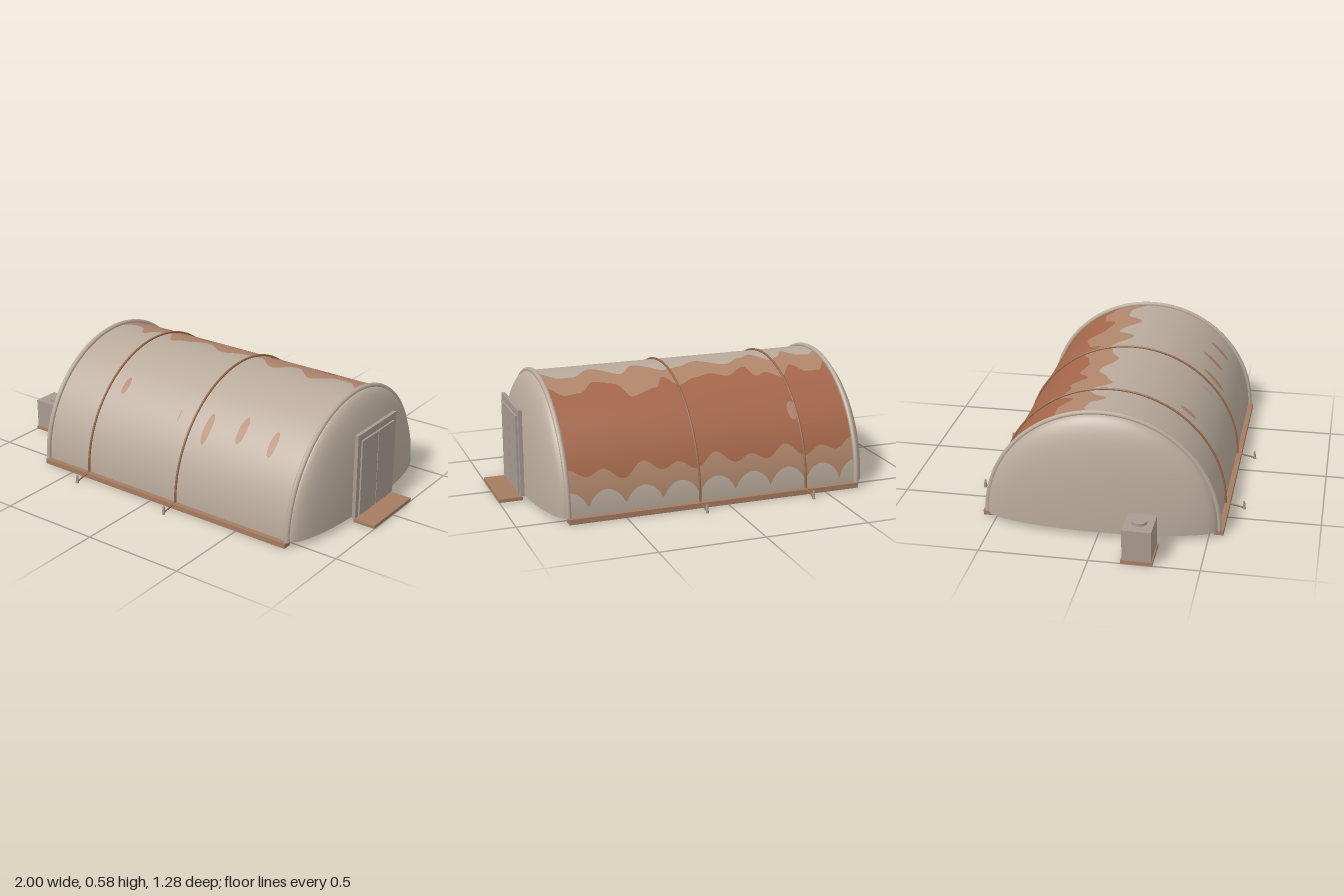
import * as THREE from 'three';

const R = 0.54, Y0 = 0.025;            // shell radius and springing height
const X0 = -0.675, X1 = 0.77;          // shell ends
const BULGE = 0.115;                   // depth of the domed ends

function mat(name, color, side = THREE.FrontSide) {
  const m = new THREE.MeshStandardMaterial({ color, side });
  m.name = name;
  return m;
}

// Grid surface from a point rule and a normal rule
function surface(nu, nv, point, normal) {
  const pos = [], nor = [], idx = [];
  for (let i = 0; i <= nu; i++) for (let j = 0; j <= nv; j++) {
    const p = point(i / nu, j / nv);
    pos.push(p.x, p.y, p.z);
    const n = normal(p).normalize();
    nor.push(n.x, n.y, n.z);
    if (i < nu && j < nv) {
      const a = i * (nv + 1) + j, c = a + nv + 1;
      idx.push(a, a + 1, c, a + 1, c + 1, c);
    }
  }
  const g = new THREE.BufferGeometry();
  g.setAttribute('position', new THREE.Float32BufferAttribute(pos, 3));
  g.setAttribute('normal', new THREE.Float32BufferAttribute(nor, 3));
  g.setIndex(idx);
  return g;
}

// Point on the barrel; t runs from the back foot (0) over the top to the front foot (PI)
const barrel = (x, t, r = R) => new THREE.Vector3(x, Y0 + r * Math.sin(t), -r * Math.cos(t));
const radial = p => new THREE.Vector3(0, p.y - Y0, p.z);

// Smooth wavy edge through [x, z] pairs, returned as a barrel angle
function wavy(pairs) {
  return x => {
    let k = 0;
    while (k < pairs.length - 2 && x > pairs[k + 1][0]) k++;
    const [xa, za] = pairs[k], [xb, zb] = pairs[k + 1];
    const s = THREE.MathUtils.smoothstep(x, xa, xb);
    return Math.acos(-(za + (zb - za) * s) / R);
  };
}

export function createModel() {
  const root = new THREE.Group();
  root.name = 'archedShelter';
  const skin = mat('weathered beige', 0xb9aa9b, THREE.DoubleSide);
  const rust = mat('rust', 0xa5674a, THREE.DoubleSide);
  const stain = mat('pale rust', 0xaf866b, THREE.DoubleSide);
  const wood = mat('brown timber', 0xa57c62);
  const strapMat = mat('strap brown', 0x96694a);
  const metal = mat('grey beige metal', 0xa99b90);

  const add = (name, geo, m, x = 0, y = 0, z = 0, parent = root) => {
    const mesh = new THREE.Mesh(geo, m);
    mesh.name = name;
    mesh.position.set(x, y, z);
    parent.add(mesh);
    return mesh;
  };
  // Box given by its limits
  const box = (name, m, xa, xb, ya, yb, za, zb) => add(name,
    new THREE.BoxGeometry(xb - xa, yb - ya, zb - za), m, (xa + xb) / 2, (ya + yb) / 2, (za + zb) / 2);

  // Barrel shell in coloured bands with wavy edges
  const deg = Math.PI / 180;
  const rustTop = wavy([[-0.675, -0.16], [-0.61, -0.23], [-0.54, -0.23], [-0.48, -0.17], [-0.4, -0.25],
    [-0.33, -0.21], [-0.27, -0.23], [-0.24, -0.15], [-0.13, -0.21], [-0.05, -0.18], [0.03, -0.2],
    [0.13, -0.24], [0.19, -0.17], [0.24, -0.24], [0.38, -0.28], [0.43, -0.19], [0.53, -0.16],
    [0.61, -0.23], [0.69, -0.24], [0.77, -0.17]]);
  const stainTop = wavy([[-0.675, -0.04], [-0.61, -0.09], [-0.56, -0.08], [-0.5, -0.01], [-0.45, -0.08],
    [-0.4, -0.11], [-0.32, -0.015], [-0.26, -0.05], [-0.16, -0.11], [-0.02, -0.04], [0.08, -0.09],
    [0.16, -0.11], [0.29, -0.02], [0.38, -0.11], [0.51, -0.015], [0.61, -0.1], [0.68, -0.1], [0.77, -0.015]]);
  const scallop = x => (2 + 10 * Math.sqrt(Math.abs(Math.sin(x * 17.5 + 0.8)))) * deg;
  const rustFoot = x => (20 + 2.5 * Math.sin(x * 35) + 1.5 * Math.sin(x * 19 + 1)) * deg;
  const edges = [() => 0, scallop, rustFoot, rustTop, stainTop, () => Math.PI];
  const bands = [['lowerShell', skin, 2], ['lowerStain', stain, 4], ['rustField', rust, 14],
    ['upperStain', stain, 6], ['mainShell', skin, 32]];
  bands.forEach(([name, m, n], k) => add(name, surface(144, n, (u, v) => {
    const x = X0 + (X1 - X0) * u;
    return barrel(x, THREE.MathUtils.lerp(edges[k](x), edges[k + 1](x), v));
  }, radial), m));

  // Rust spots, seen on both faces of the shell: x, angle, half width, half angle
  const frontAngle = y => Math.PI - Math.asin((y - Y0) / R);
  [[-0.315, frontAngle(0.44), 0.017, 0.09], [0.05, frontAngle(0.395), 0.003, 0.06],
    [0.225, frontAngle(0.38), 0.02, 0.145], [0.405, frontAngle(0.41), 0.021, 0.13],
    [0.585, frontAngle(0.395), 0.019, 0.12], [-0.385, 0.71, 0.024, 0.09]]
    .forEach(([cx, ct, rx, rt]) => [R + 0.002, R - 0.002].forEach(r => add('rustSpot',
      surface(3, 20, (u, v) => barrel(cx + rx * u * Math.cos(v * 2 * Math.PI),
        ct + rt * u * Math.sin(v * 2 * Math.PI), r), radial), stain)));

  // Domed ends and rim hoops
  [[X0, -1], [X1, 1]].forEach(([cx, s]) => {
    add('domedEnd', surface(20, 48, (u, v) => {
      const a = u * Math.PI / 2, t = (s > 0 ? v : 1 - v) * Math.PI;
      return barrel(cx + s * BULGE * Math.sin(a), t, R * Math.cos(a));
    }, p => new THREE.Vector3((p.x - cx) / BULGE ** 2, (p.y - Y0) / R ** 2, p.z / R ** 2)), skin);
    add('rimHoop', new THREE.TorusGeometry(0.544, 0.012, 10, 64, Math.PI), skin, cx - s * 0.002, Y0)
      .rotation.y = Math.PI / 2;
  });

  // Foot rails
  for (const s of [-1, 1]) {
    box('footRail', wood, X0, X1, 0, Y0, s * 0.5425 - 0.0225, s * 0.5425 + 0.0225);
  }

  // Tie-down straps with guy ends and stakes
  for (const x of [-0.405, 0.135]) {
    add('strap', new THREE.TorusGeometry(0.544, 0.0055, 8, 64, Math.PI), strapMat, x, Y0)
      .rotation.y = Math.PI / 2;
    for (const s of [-1, 1]) {
      const guy = new THREE.LineCurve3(new THREE.Vector3(x, Y0, s * 0.545), new THREE.Vector3(x, 0.007, s * 0.632));
      add('guyEnd', new THREE.TubeGeometry(guy, 1, 0.004, 8), strapMat);
      add('stake', new THREE.CylinderGeometry(0.005, 0.008, 0.04, 8), metal, x, 0.02, s * 0.632)
        .rotation.x = -s * 0.08;
    }
  }

  // Door frame, two leaves and step
  box('doorJamb', metal, 0.878, 0.896, 0.02, 0.44, -0.17, -0.143);
  box('doorJamb', metal, 0.878, 0.896, 0.02, 0.44, 0.143, 0.17);
  box('doorHead', metal, 0.878, 0.896, 0.408, 0.44, -0.143, 0.143);
  box('doorBacking', metal, 0.88, 0.892, 0.025, 0.408, -0.143, 0.143);
  box('doorLeaf', metal, 0.89, 0.904, 0.028, 0.407, -0.143, -0.002);
  box('doorLeaf', metal, 0.89, 0.904, 0.028, 0.407, 0.002, 0.143);
  box('step', wood, 0.888, 1.0, 0, 0.016, -0.17, 0.17);

  // Heater unit with pallet, lid and duct
  box('heaterPallet', wood, -1.0, -0.824, 0, 0.015, 0.145, 0.288);
  box('heaterBody', metal, -0.996, -0.832, 0.015, 0.163, 0.15, 0.282);
  add('heaterLid', new THREE.CylinderGeometry(0.035, 0.035, 0.012, 28), metal, -0.913, 0.169, 0.216);
  const duct = new THREE.LineCurve3(new THREE.Vector3(-0.835, 0.092, 0.222), new THREE.Vector3(-0.74, 0.097, 0.182));
  add('duct', new THREE.TubeGeometry(duct, 1, 0.019, 18),
    mat('duct beige', 0xa99b90, THREE.DoubleSide));

  return root;
}
